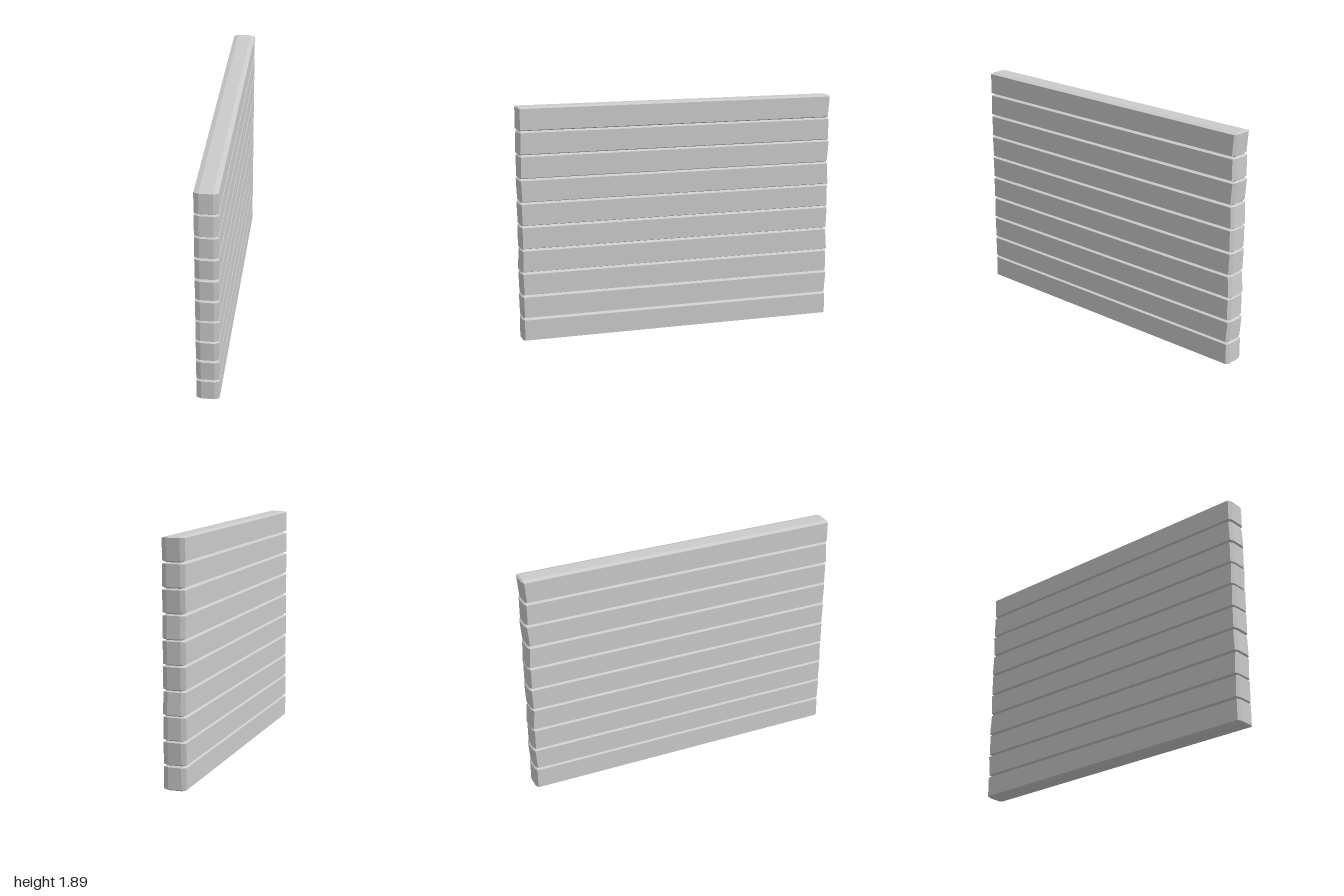
import * as THREE from 'three';
import { ConvexGeometry } from 'three/addons/geometries/ConvexGeometry.js';

const COUNT = 10, HEIGHT = 1.895, HALF_LENGTH = 1.322, HALF_DEPTH = 0.09;

// Slant of each plank's cut ends, bottom plank first: [left end, right end]
const SLANTS = [
  [0, 0], [0.003, 0.007], [0.003, 0], [-0.004, -0.007], [0, 0.004],
  [0.003, 0], [0.004, -0.005], [0, 0.008], [-0.004, 0], [0, 0.008],
];

// Plank chamfered on every edge, with slightly slanted ends
function plankGeometry(halfHeight, [leftSlant, rightSlant]) {
  const points = [];
  // offsets from the full box: [length, height, depth]
  const corners = [[0, 0.01, 0.037], [0.014, 0, 0.037], [0.014, 0.011, 0]];
  for (const sx of [-1, 1]) for (const sy of [-1, 1]) for (const sz of [-1, 1]) {
    for (const [dx, dy, dz] of corners) {
      const y = sy * (halfHeight - dy);
      const slant = (sx > 0 ? rightSlant : leftSlant) * y / halfHeight;
      points.push(new THREE.Vector3(
        sx * (HALF_LENGTH - dx + slant), y, sz * (HALF_DEPTH - dz)));
    }
  }
  return new ConvexGeometry(points);
}

export function createModel() {
  const model = new THREE.Group();
  model.name = 'plankWall';
  const material = new THREE.MeshStandardMaterial({ color: 0xcccccc, flatShading: true });

  // Stack of horizontal planks
  const pitch = HEIGHT / COUNT;
  SLANTS.forEach((slants, i) => {
    const plank = new THREE.Mesh(plankGeometry(pitch / 2, slants), material);
    plank.name = `plank${i + 1}`;
    plank.position.y = (i + 0.5) * pitch;
    model.add(plank);
  });

  // The wall stands on the diagonal
  const wall = new THREE.Group();
  wall.name = 'diagonalWall';
  model.rotation.y = Math.PI / 4;
  wall.add(model);
  return wall;
}
